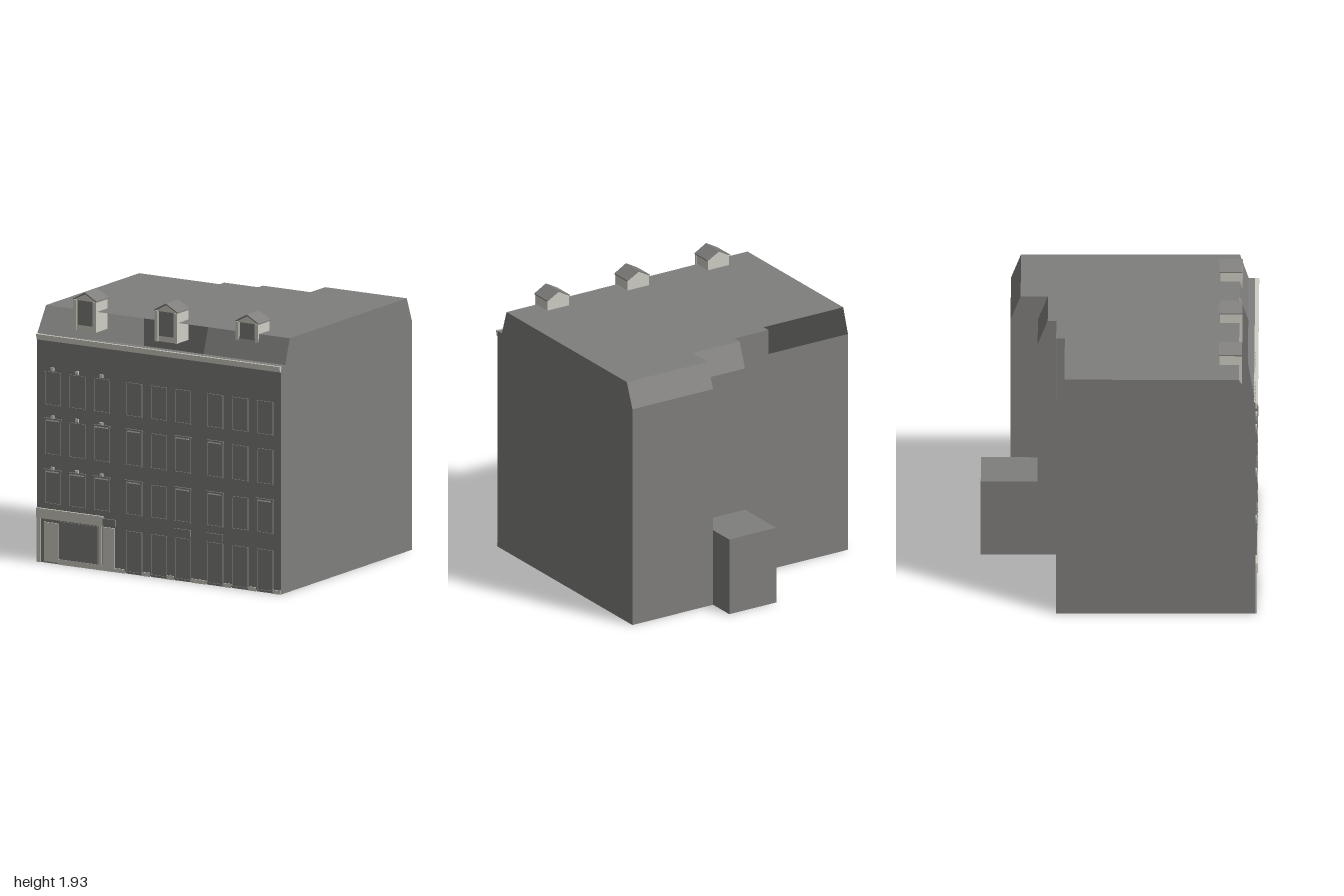
import * as THREE from 'three';

export function createModel() {
  const root = new THREE.Group();
  const stone = new THREE.MeshStandardMaterial({ color: 0x7f7e7c, side: THREE.DoubleSide });
  stone.name = 'stone grey';
  const trim = new THREE.MeshStandardMaterial({ color: 0xcfcec4, side: THREE.DoubleSide });
  trim.name = 'pale trim';

  const add = (name, geo, mat, parent = root) => {
    const m = new THREE.Mesh(geo, mat);
    m.name = name;
    parent.add(m);
    return m;
  };
  // box from its min and max corners
  const box = (name, x0, x1, y0, y1, z0, z1, mat, parent = root) =>
    add(name, new THREE.BoxGeometry(x1 - x0, y1 - y0, z1 - z0)
      .translate((x0 + x1) / 2, (y0 + y1) / 2, (z0 + z1) / 2), mat, parent);
  const flat = pts => new THREE.ShapeGeometry(new THREE.Shape(pts.map(p => new THREE.Vector2(...p))));
  // vertical sheet across x, outline in (z, y)
  const sideSheet = (name, x, pts) => add(name, flat(pts).rotateY(-Math.PI / 2).translate(x, 0, 0), stone);
  // horizontal sheet, outline in (x, z)
  const level = (name, y, pts) => add(name, flat(pts).rotateX(Math.PI / 2).translate(0, y, 0), stone);
  // sheet running along x between a lower and an upper edge
  const strip = (name, x0, x1, y0, z0, y1, z1) => {
    const g = new THREE.BufferGeometry();
    g.setAttribute('position', new THREE.Float32BufferAttribute(
      [x0, y0, z0, x1, y0, z0, x1, y1, z1, x0, y1, z1], 3));
    g.setIndex(z0 > 0 ? [0, 1, 2, 0, 2, 3] : [0, 2, 1, 0, 3, 2]);
    g.computeVertexNormals();
    return add(name, g, stone);
  };

  const F = 0.945, E = 1.62, T = 1.8; // facade plane, eaves, roof height

  // main shell
  level('floor', 0, [[-1, F], [1, F], [1, -0.76], [0.33, -0.76], [0.33, -0.57], [-0.06, -0.57], [-0.06, -0.44], [-1, -0.44]]);
  level('roof', T, [[-1, 0.83], [1, 0.83], [1, -0.69], [0.33, -0.69], [0.33, -0.5], [-0.06, -0.5],
    [-0.06, -0.44], [-0.34, -0.44], [-0.34, -0.38], [-1, -0.38]]);
  level('eavesLedge', E, [[-1, F], [1, F], [1, 0.89], [-0.34, 0.89]]);
  strip('frontWall', -1, 1, 0, F, E, F);
  strip('frontRoofSlope', 0.33, 1, E, 0.89, T, 0.83);
  strip('backWallRight', 0.33, 1, 0, -0.76, E, -0.76);
  strip('backSlopeRight', 0.33, 1, E, -0.76, T, -0.69);
  strip('backWallMiddle', -0.06, 0.33, 0, -0.57, E, -0.57);
  strip('backSlopeMiddle', -0.06, 0.33, E, -0.57, T, -0.5);
  strip('backWallTall', -0.34, -0.06, 0, -0.44, T, -0.44);
  strip('backWallLeft', -1, -0.34, 0, -0.44, E, -0.44);
  sideSheet('rightWall', 1, [[F, 0], [F, E], [0.89, E], [0.83, T], [-0.69, T], [-0.76, E], [-0.76, 0]]);
  sideSheet('leftWall', -1, [[F, 0], [F, E], [0.83, T], [-0.38, T], [-0.44, E], [-0.44, 0]]);
  sideSheet('rearStepRight', 0.33, [[-0.57, 0], [-0.57, E], [-0.5, T], [-0.69, T], [-0.76, E], [-0.76, 0]]);
  sideSheet('rearStepLeft', -0.06, [[-0.44, 0], [-0.44, T], [-0.5, T], [-0.57, E], [-0.57, 0]]);
  box('rearAnnex', -0.06, 0.33, 0, 0.56, -0.965, -0.57, stone);

  // cornice
  box('cornice', -1, 1, 1.58, 1.6, F, 0.955, trim);
  box('corniceTop', -1, 1, 1.6, 1.62, 0.935, 0.963, trim);

  // windows: thin frame with a pane inside
  const windowAt = (x, y0, y1) => {
    const g = new THREE.Group();
    g.name = 'window';
    root.add(g);
    const w = 0.067, t = 0.008;
    for (const s of [-1, 1]) {
      const a = x + s * w, b = x + s * (w - t);
      box('jamb', Math.min(a, b), Math.max(a, b), y0, y1, F, F + 0.009, stone, g);
    }
    box('sill', x - w, x + w, y0, y0 + t, F, F + 0.011, stone, g);
    box('head', x - w, x + w, y1 - t, y1, F, F + 0.009, stone, g);
    box('pane', x - w + t, x + w - t, y0 + t, y1 - t, F, F + 0.003, stone, g);
  };
  const columns = [-0.87, -0.67, -0.47, -0.205, 0, 0.195, 0.46, 0.665, 0.87];
  const rows = [[0.42, 0.655], [0.77, 1.02], [1.12, 1.36]];
  const lintels = [[0, 1, 2, 3, 5, 6, 8], [0, 2, 3, 5, 6], []];
  rows.forEach(([y0, y1], r) => columns.forEach((x, c) => {
    windowAt(x, y0, y1);
    if (lintels[r].includes(c)) {
      box('lintel', x - 0.072, x + 0.072, y1, y1 + 0.012, F, F + 0.012, stone);
      box('lintelTrim', x - 0.055, x + 0.055, y1 - 0.008, y1 + 0.001, F, F + 0.013, trim);
    }
    if (c < 3) box('keystone', x - 0.012, x + 0.012, y1 + 0.008, y1 + 0.032, F, F + 0.012, trim);
  }));
  columns.slice(3).forEach((x, c) => {
    windowAt(x, 0.01, 0.305);
    if (c === 2 || c === 3) box('doorHood', x - 0.065, x + 0.065, 0.32, 0.37, F, F + 0.01, stone);
  });

  // plinth pieces between the ground floor openings
  const edges = [-0.36, ...columns.slice(3).flatMap(x => [x - 0.068, x + 0.068]), 1];
  for (let i = 0; i < edges.length; i += 2)
    box('plinth', edges[i], edges[i + 1], 0, 0.028, F, F + 0.008, trim);

  // shopfront
  box('shopFascia', -1, -0.455, 0.315, 0.385, F, 0.962, trim);
  box('shopPilaster', -1, -0.968, 0, 0.315, F, 0.955, trim);
  box('shopDoor', -0.94, -0.825, 0.01, 0.29, F, 0.953, trim);
  box('shopBase', -0.825, -0.36, 0, 0.038, F, 0.955, trim);
  box('shopWindow', -0.81, -0.5, 0.038, 0.305, F, 0.952, stone);
  box('shopMullion', -0.49, -0.468, 0.03, 0.315, F, 0.955, trim);
  box('sideDoor', -0.46, -0.36, 0.01, 0.31, F, 0.955, trim);
  box('sideDoorHood', -0.455, -0.355, 0.32, 0.37, F, 0.957, stone);

  // dormers
  for (const x of [-0.67, -0.005, 0.66]) {
    const d = new THREE.Group();
    d.name = 'dormer';
    d.position.x = x;
    root.add(d);
    const gable = new THREE.Shape([[-0.088, 1.655], [0.088, 1.655], [0.088, 1.872], [0, 1.92], [-0.088, 1.872]]
      .map(p => new THREE.Vector2(...p)));
    add('dormerBody', new THREE.ExtrudeGeometry(gable, { depth: 0.145, bevelEnabled: false })
      .translate(0, 0, 0.695), trim, d);
    const cap = new THREE.Shape([[-0.096, 1.87], [0, 1.922], [0.096, 1.87], [0.096, 1.878], [0, 1.932], [-0.096, 1.878]]
      .map(p => new THREE.Vector2(...p)));
    add('dormerRoof', new THREE.ExtrudeGeometry(cap, { depth: 0.16, bevelEnabled: false })
      .translate(0, 0, 0.69), stone, d);
    box('dormerPane', -0.06, 0.06, 1.695, 1.87, 0.84, 0.845, stone, d);
    for (const s of [-1, 1])
      box('dormerJamb', s * 0.08 - 0.012, s * 0.08 + 0.012, 1.655, 1.87, 0.84, 0.85, trim, d);
  }
  return root;
}
